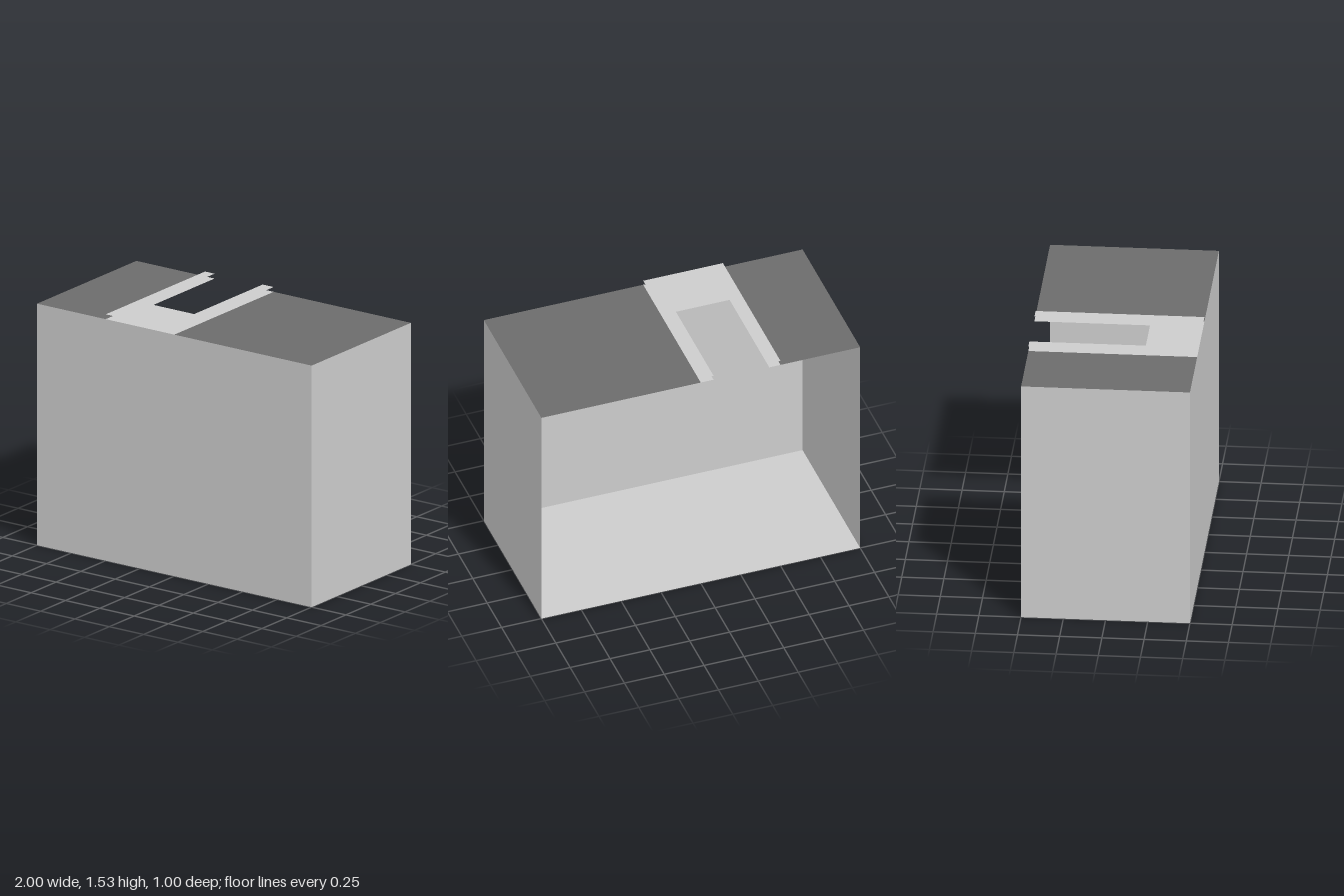
import * as THREE from 'three';

const W = 2, H = 1.5, D = 1;

export function createModel() {
  const model = new THREE.Group();
  model.name = 'openCabinet';
  const grey = new THREE.MeshStandardMaterial({ color: 0xcccccc, side: THREE.DoubleSide });
  grey.name = 'lightGrey';
  const dark = new THREE.MeshStandardMaterial({ color: 0x6c6c6c, side: THREE.DoubleSide });
  dark.name = 'darkGrey';

  function add(name, geometry, material, x, y, z) {
    const mesh = new THREE.Mesh(geometry, material);
    mesh.name = name;
    mesh.position.set(x, y, z);
    model.add(mesh);
  }
  // Flat sheet facing up
  const sheet = (w, d) => new THREE.PlaneGeometry(w, d).rotateX(-Math.PI / 2);

  // Thin shell, open at the back
  add('frontPanel', new THREE.PlaneGeometry(W, H), grey, 0, H / 2, D / 2);
  add('floor', sheet(W, D), grey, 0, 0, 0);
  for (const s of [-1, 1]) {
    const side = new THREE.PlaneGeometry(D, H).rotateY(s * Math.PI / 2);
    add(s > 0 ? 'leftPanel' : 'rightPanel', side, grey, s * W / 2, H / 2, 0);
  }

  // Dark worktop on either side of the cut-out
  add('worktopRight', sheet(0.5, D), dark, -0.75, H, 0);
  add('worktopLeft', sheet(1, D), dark, 0.5, H, 0);

  // Two stacked U-shaped sheets, open towards the back (shape y becomes -z)
  const u = new THREE.Shape([
    [-0.5, -0.5], [0, -0.5], [0, 0.5], [-0.08, 0.5],
    [-0.08, -0.19], [-0.43, -0.19], [-0.43, 0.5], [-0.5, 0.5],
  ].map(([x, y]) => new THREE.Vector2(x, y)));
  const frame = new THREE.ShapeGeometry(u).rotateX(-Math.PI / 2);
  add('lowerFrame', frame, grey, 0, H, 0);
  add('upperFrame', frame, grey, 0, H + 0.03, 0);

  return model;
}
